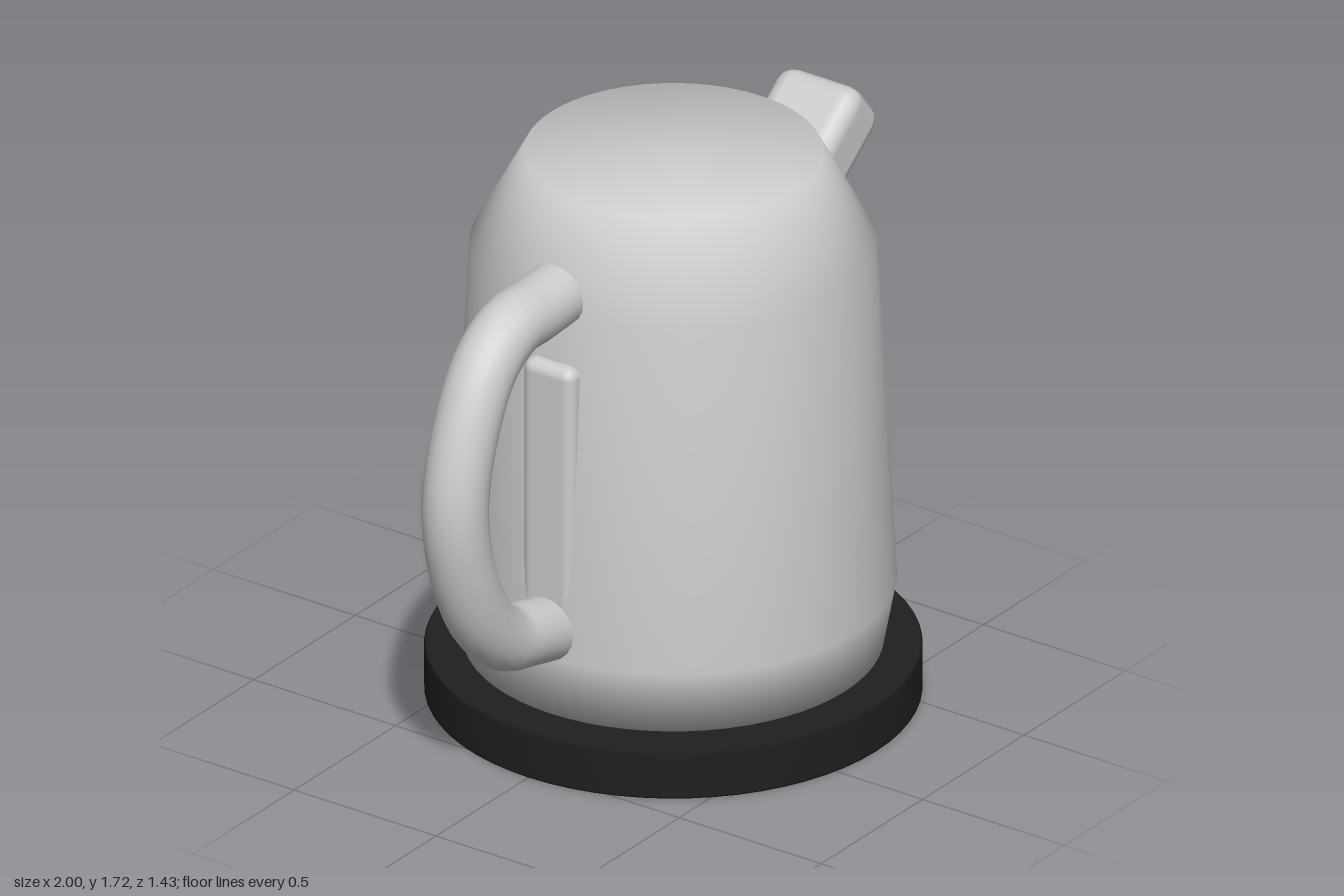
import * as THREE from 'three';
import { RoundedBoxGeometry } from 'three/addons/geometries/RoundedBoxGeometry.js';

const AXIS_X = 0.17; // centre line of the body and base

export function createModel() {
  const model = new THREE.Group();
  model.name = 'kettle';

  const steel = new THREE.MeshStandardMaterial({ color: 0xcccccc });
  steel.name = 'light grey';
  const black = new THREE.MeshStandardMaterial({ color: 0x1f1f1f });
  black.name = 'black';

  const add = (name, geometry, material, x = 0, y = 0, z = 0, parent = model) => {
    const mesh = new THREE.Mesh(geometry, material);
    mesh.name = name;
    mesh.position.set(x, y, z);
    parent.add(mesh);
    return mesh;
  };
  const lathe = (profile) =>
    new THREE.LatheGeometry(profile.map(([r, y]) => new THREE.Vector2(r, y)), 64);

  // Power base: flat disc with a very slightly raised top
  add('base', lathe([
    [0, 0], [0.715, 0], [0.715, 0.005], [0.715, 0.14], [0.71, 0.146], [0.3, 0.154], [0, 0.156],
  ]), black, AXIS_X);

  // Body: tapered wall, sloping shoulder and flat closed lid
  add('body', lathe([
    [0, 0.16], [0.605, 0.16], [0.642, 0.36], [0.585, 1.43], [0.43, 1.72], [0, 1.72],
  ]), steel, AXIS_X);

  // Spout: stubby rounded block tilted up and outwards
  const spout = add('spout', new RoundedBoxGeometry(0.36, 0.2, 0.29, 2, 0.055), steel, 0.818, 1.485);
  spout.rotation.z = Math.atan2(0.61, 0.79);

  // Gauge strip: rounded bar on the wall behind the handle
  add('gaugeStrip', new RoundedBoxGeometry(0.12, 0.9, 0.18, 3, 0.035), steel, -0.402, 0.84);

  // Handle: round tube bent into a C, with closed ends
  const handle = new THREE.Group();
  handle.name = 'handle';
  model.add(handle);
  const path = new THREE.CatmullRomCurve3([
    [-0.41, 1.5], [-0.52, 1.493], [-0.64, 1.487], [-0.76, 1.41], [-0.855, 1.24],
    [-0.905, 1.02], [-0.87, 0.8], [-0.78, 0.61], [-0.665, 0.5], [-0.55, 0.467], [-0.42, 0.435],
  ].map(([x, y]) => new THREE.Vector3(x, y, 0)));
  add('handleTube', new THREE.TubeGeometry(path, 40, 0.097, 20), steel, 0, 0, 0, handle);
  for (const [t, sign] of [[0, -1], [1, 1]]) {
    const p = path.getPoint(t);
    const cap = add('handleEnd', new THREE.CircleGeometry(0.097, 20), steel, p.x, p.y, 0, handle);
    cap.quaternion.setFromUnitVectors(
      new THREE.Vector3(0, 0, 1), path.getTangent(t).multiplyScalar(sign));
  }

  return model;
}
